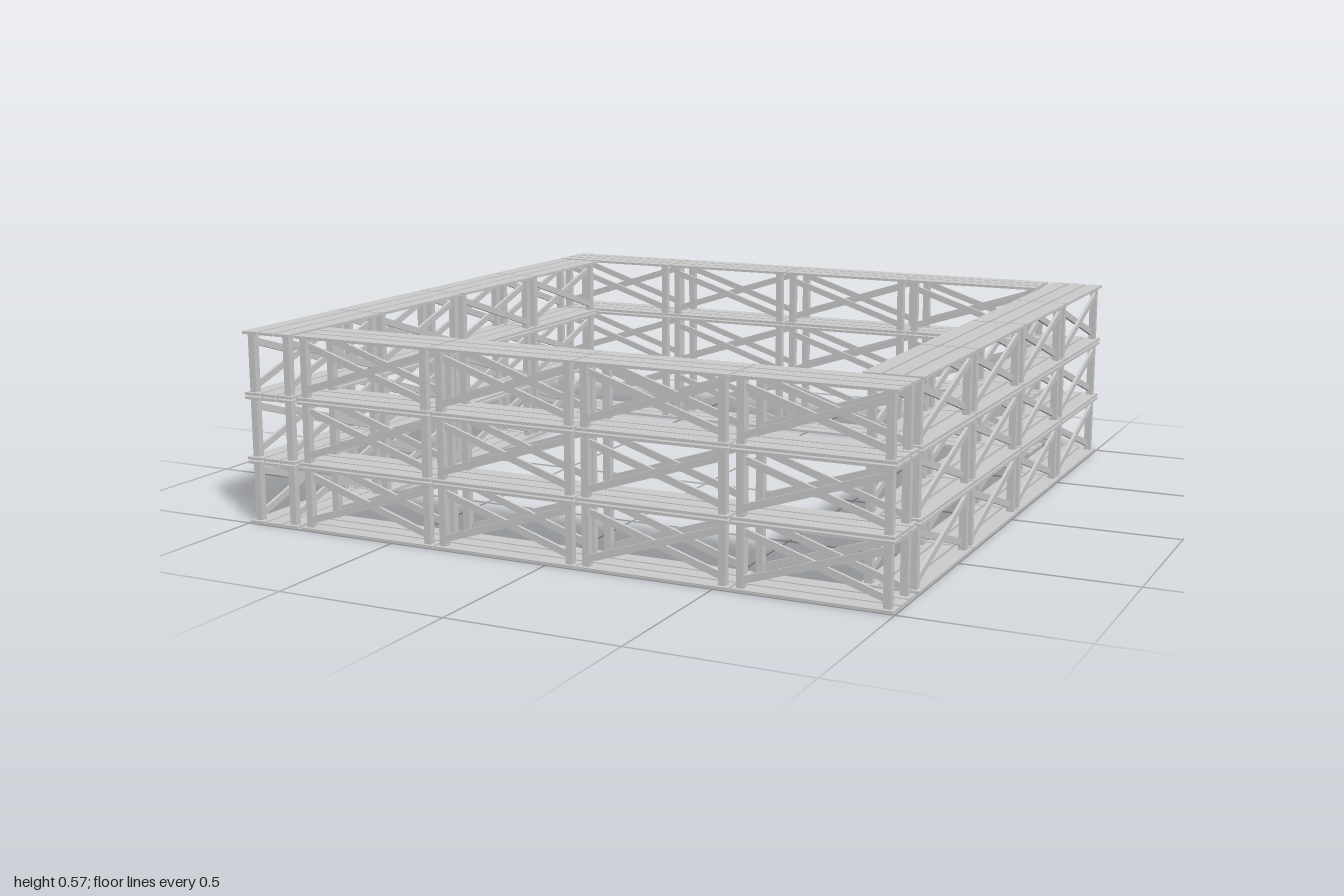
import * as THREE from 'three';

const L = 0.447, W = 0.165;            // plan size of one trestle unit
const PITCH = 0.454, TIER = 0.191;     // spacing along a wall and between tiers
const H = 0.187, T = 0.008;            // unit height, plank thickness
const material = new THREE.MeshStandardMaterial({ color: 0xcccccc, flatShading: true });

const plankGeo = new THREE.BoxGeometry(L, T, 0.05);
const postGeo = new THREE.BoxGeometry(0.021, H - 2 * T, 0.021);
const run = L - 0.046, rise = 0.13;
const braceGeo = new THREE.BoxGeometry(Math.hypot(run, rise), 0.02, 0.009);

function add(parent, name, geo, x, y, z, tilt = 0) {
  const mesh = new THREE.Mesh(geo, material);
  mesh.name = name;
  mesh.position.set(x, y, z);
  mesh.rotation.z = tilt;
  parent.add(mesh);
}

// One unit: plank floor and deck, four posts, crossed braces on both long sides
function createUnit() {
  const unit = new THREE.Group();
  unit.name = 'trestleUnit';
  for (const row of [-1, 0, 1]) {
    add(unit, 'bottomPlank', plankGeo, 0, T / 2, row * 0.0575);
    add(unit, 'topPlank', plankGeo, 0, H - T / 2, row * 0.0575);
  }
  const tilt = Math.atan2(rise, run);
  for (const side of [-1, 1]) {
    const z = side * (W / 2 - 0.021);
    for (const end of [-1, 1]) {
      add(unit, 'post', postGeo, end * (L / 2 - 0.022), H / 2, z);
      add(unit, 'diagonalBrace', braceGeo, 0, H / 2, z + end * side * 0.005, end * tilt);
    }
  }
  return unit;
}

// A wall: four units long and three tiers high
function createWall() {
  const wall = new THREE.Group();
  for (let tier = 0; tier < 3; tier++) {
    for (let i = 0; i < 4; i++) {
      const unit = createUnit();
      unit.position.set(0.091 + (i - 1.5) * PITCH, tier * TIER, 0.915);
      wall.add(unit);
    }
  }
  return wall;
}

export function createModel() {
  const model = new THREE.Group();
  model.name = 'timberEnclosure';
  // Pinwheel of four walls around the open middle
  ['frontWall', 'leftWall', 'backWall', 'rightWall'].forEach((name, i) => {
    const wall = createWall();
    wall.name = name;
    wall.rotation.y = i * Math.PI / 2;
    model.add(wall);
  });
  return model;
}
